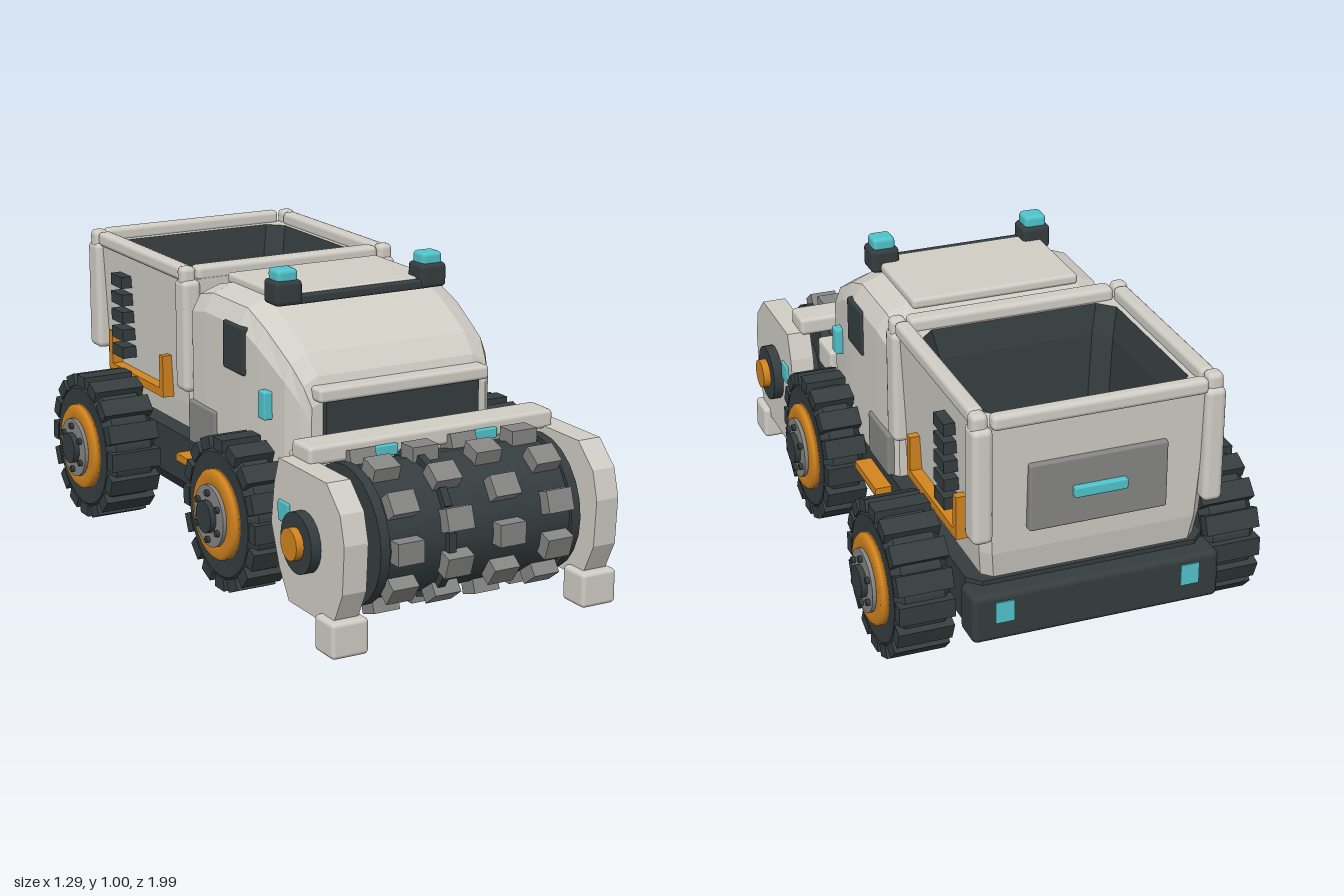
import * as THREE from 'three';
import { RoundedBoxGeometry } from 'three/addons/geometries/RoundedBoxGeometry.js';

const material = (name, color) => {
  const m = new THREE.MeshStandardMaterial({ color });
  m.name = name;
  return m;
};

// Skin between matching loops; each loop runs counter-clockwise seen along the direction of travel.
function loft(loops, startCap = true, endCap = true) {
  const pos = [];
  const tri = (a, b, c) => pos.push(...a, ...b, ...c);
  const n = loops[0].length;
  for (let k = 0; k < loops.length - 1; k++) {
    const a = loops[k], b = loops[k + 1];
    for (let i = 0; i < n; i++) {
      const j = (i + 1) % n;
      tri(a[i], a[j], b[j]);
      tri(a[i], b[j], b[i]);
    }
  }
  const first = loops[0], last = loops[loops.length - 1];
  for (let i = 1; i < n - 1; i++) {
    if (startCap) tri(first[0], first[i + 1], first[i]);
    if (endCap) tri(last[0], last[i], last[i + 1]);
  }
  const g = new THREE.BufferGeometry();
  g.setAttribute('position', new THREE.Float32BufferAttribute(pos, 3));
  g.computeVertexNormals();
  return g;
}

// Horizontal rectangle with cut corners.
const octagon = (y, w, back, front, c) => [
  [-w + c, y, front], [w - c, y, front], [w, y, front - c], [w, y, back + c],
  [w - c, y, back], [-w + c, y, back], [-w, y, back + c], [-w, y, front - c],
];

export function createModel() {
  const shell = material('pale shell', 0xd0cdc5);
  const dark = material('charcoal', 0x353d3f);
  const steel = material('steel grey', 0x858584);
  const orange = material('orange', 0xd2841e);
  const cyan = material('cyan light', 0x50c3cb);
  for (const m of [dark, steel, shell]) m.flatShading = false;

  const root = new THREE.Group();
  root.name = 'miningTruck';
  const add = (name, geo, mat, x = 0, y = 0, z = 0, parent = root) => {
    const m = new THREE.Mesh(geo, mat);
    m.name = name;
    m.position.set(x, y, z);
    parent.add(m);
    return m;
  };
  // Box given by its limits; r rounds the edges.
  const box = (name, mat, [x0, x1], [y0, y1], [z0, z1], r = 0, parent = root) => {
    const s = [x1 - x0, y1 - y0, z1 - z0];
    const g = r ? new RoundedBoxGeometry(...s, 2, r) : new THREE.BoxGeometry(...s);
    return add(name, g, mat, (x0 + x1) / 2, (y0 + y1) / 2, (z0 + z1) / 2, parent);
  };
  const pair = (name, mat, [x0, x1], y, z, r) => {
    box(name + 'Left', mat, [x0, x1], y, z, r);
    box(name + 'Right', mat, [-x1, -x0], y, z, r);
  };
  // Disc or drum lying along x.
  const drumX = (name, mat, r, x0, x1, sides, y, z, parent = root) => {
    const g = new THREE.CylinderGeometry(r, r, Math.abs(x1 - x0), sides).rotateZ(Math.PI / 2);
    return add(name, g, mat, (x0 + x1) / 2, y, z, parent);
  };

  // Chassis
  add('chassis', loft([octagon(0.15, 0.35, -0.9, 0.53, 0.04), octagon(0.2, 0.385, -0.92, 0.56, 0.04),
    octagon(0.36, 0.385, -0.92, 0.56, 0.04)]), dark);
  add('skidPlate', loft([octagon(0.09, 0.26, -0.6, 0.3, 0.05), octagon(0.15, 0.31, -0.68, 0.4, 0.05)]), dark);
  box('rearBumper', dark, [-0.4, 0.4], [0.185, 0.345], [-0.985, -0.87], 0.02);
  pair('rearLamp', cyan, [0.27, 0.33], [0.25, 0.32], [-0.99, -0.98]);
  pair('sideStrip', orange, [0.38, 0.44], [0.3, 0.325], [-0.215, -0.01]);

  // Cab: z, half width, roof height, roof half width, shoulder height
  const cab = [
    [-0.225, 0.36, 0.84, 0.27, 0.76], [-0.2, 0.38, 0.88, 0.28, 0.8], [-0.1, 0.385, 0.905, 0.28, 0.82],
    [0.14, 0.385, 0.905, 0.28, 0.82], [0.25, 0.38, 0.865, 0.285, 0.78], [0.4, 0.365, 0.78, 0.285, 0.7],
    [0.455, 0.34, 0.72, 0.28, 0.64], [0.48, 0.315, 0.65, 0.27, 0.58],
  ].map(([z, w, top, tw, sh]) => [
    [-w, 0.36, z], [w, 0.36, z], [w, sh, z], [(w + tw) / 2 + 0.02, (sh + top) / 2 + 0.015, z], [tw, top, z],
    [-tw, top, z], [-(w + tw) / 2 - 0.02, (sh + top) / 2 + 0.015, z], [-w, sh, z],
  ]);
  add('cab', loft(cab), shell);
  box('roofPlate', shell, [-0.28, 0.28], [0.895, 0.93], [-0.145, 0.22], 0.012);
  box('roofLightBar', dark, [-0.25, 0.25], [0.895, 0.925], [0.215, 0.245], 0.008);
  box('grille', dark, [-0.275, 0.275], [0.52, 0.655], [0.47, 0.503]);
  box('grilleBrow', shell, [-0.305, 0.305], [0.65, 0.695], [0.44, 0.518], 0.012);
  pair('sideWindow', dark, [0.36, 0.394], [0.67, 0.825], [0.04, 0.18], 0.008);
  pair('sideLamp', cyan, [0.36, 0.4], [0.565, 0.655], [0.288, 0.333], 0.006);
  pair('accessPanel', steel, [0.36, 0.395], [0.36, 0.505], [-0.21, -0.02], 0.008);

  // Beacons
  for (const s of [-1, 1]) {
    box('beaconBase', dark, [s * 0.263 - 0.048, s * 0.263 + 0.048], [0.895, 0.975], [0.16, 0.25], 0.015);
    box('beaconLamp', cyan, [s * 0.263 - 0.037, s * 0.263 + 0.037], [0.965, 1.01], [0.17, 0.24], 0.014);
  }

  // Hopper: shell with a lip, dark lining inside
  add('hopper', loft([octagon(0.375, 0.345, -0.93, -0.27, 0.03), octagon(0.46, 0.355, -0.945, -0.25, 0.03),
    octagon(0.895, 0.378, -0.965, -0.235, 0.03), octagon(0.895, 0.325, -0.92, -0.3, 0.05)], true, false), shell);
  add('hopperLining', loft([octagon(0.895, 0.325, -0.92, -0.3, 0.05), octagon(0.8, 0.305, -0.9, -0.32, 0.05),
    octagon(0.45, 0.28, -0.87, -0.34, 0.05)], false, true), dark);
  pair('sideRail', shell, [0.34, 0.39], [0.885, 0.935], [-0.92, -0.28], 0.016);
  box('rearRail', shell, [-0.34, 0.34], [0.885, 0.935], [-0.99, -0.945], 0.016);
  box('frontRail', shell, [-0.34, 0.34], [0.885, 0.935], [-0.295, -0.235], 0.016);
  for (const [z0, z1] of [[-0.297, -0.217], [-0.987, -0.903]]) {
    pair('cornerPost', shell, [0.335, 0.4], [0.52, 0.895], [z0, z1], 0.02);
    pair('postCap', shell, [0.345, 0.397], [0.87, 0.938], [z0 + 0.015, z1 - 0.015], 0.018);
  }
  for (let i = 0; i < 5; i++) {
    const y = 0.8 - i * 0.0615;
    pair('vent', dark, [0.35, 0.41], [y - 0.02, y + 0.02], [-0.77, -0.682]);
  }
  for (const z of [-0.413, -0.817]) pair('bracketPost', orange, [0.34, 0.395], [0.465, 0.605], [z - 0.014, z + 0.014]);
  pair('bracketBar', orange, [0.34, 0.395], [0.462, 0.49], [-0.83, -0.4]);
  box('tailPanel', steel, [-0.22, 0.22], [0.53, 0.75], [-0.976, -0.93], 0.008);
  box('tailLamp', cyan, [-0.085, 0.085], [0.625, 0.66], [-0.995, -0.97], 0.006);

  // Rocks on the hopper floor
  const rocks = [[-0.19, -0.78], [0.005, -0.77], [0.185, -0.79], [-0.255, -0.61], [-0.07, -0.6],
    [0.13, -0.635], [0.255, -0.675], [-0.195, -0.445], [0.005, -0.465], [0.195, -0.49]];
  rocks.forEach(([x, z], i) => {
    const rock = add('rock', new THREE.IcosahedronGeometry(0.05 + 0.012 * ((i * 7) % 5) / 4, 0), steel, x, 0.475, z);
    rock.rotation.set(i * 1.3, i * 2.1, i * 0.7);
    rock.scale.y = 0.85;
  });

  // Wheels, built along +x and turned round for the right side
  const wheel = (name, x0, x1, z, side) => {
    const g = new THREE.Group();
    g.name = name;
    const w = x1 - x0;
    const tyre = [[0.13, 0], [0.2, 0], [0.228, 0.025], [0.228, w - 0.025], [0.2, w], [0.13, w - 0.005], [0.1, w - 0.02]]
      .map(([r, t]) => new THREE.Vector2(r, t));
    const tyreGeo = new THREE.LatheGeometry(tyre, 32).rotateZ(-Math.PI / 2).toNonIndexed();
    tyreGeo.computeVertexNormals();
    add('tyre', tyreGeo, dark, x0, 0, 0, g);
    for (let i = 0; i < 16; i++) {
      const lug = new THREE.BoxGeometry(w, 0.04, 0.062).translate(x0 + w / 2, 0.226, 0).rotateX(i * Math.PI / 8);
      add('treadLug', lug, dark, 0, 0, 0, g);
    }
    drumX('innerHub', dark, 0.135, x0 + 0.005, x1 - 0.02, 24, 0, 0, g);
    const rim = [[0.09, 0], [0.145, 0], [0.145, 0.015], [0.135, 0.025], [0.1, 0.025], [0.09, 0.015]]
      .map(([r, t]) => new THREE.Vector2(r, t));
    add('rim', new THREE.LatheGeometry(rim, 32).rotateZ(-Math.PI / 2), orange, x1 - 0.003, 0, 0, g);
    drumX('hubPlate', steel, 0.1, x1 - 0.02, x1 + 0.034, 24, 0, 0, g);
    drumX('hubCap', dark, 0.052, x1, x1 + 0.053, 16, 0, 0, g);
    for (let i = 0; i < 6; i++) {
      const a = i * Math.PI / 3;
      drumX('bolt', dark, 0.011, x1, x1 + 0.046, 6, 0.076 * Math.cos(a), 0.076 * Math.sin(a), g);
    }
    g.position.set(0, 0.262, z);
    if (side < 0) g.rotation.y = Math.PI;
    root.add(g);
  };
  for (const side of [1, -1]) {
    wheel('frontWheel', 0.39, 0.525, 0.26, side);
    wheel('rearWheel', 0.415, 0.592, -0.633, side);
  }
  for (const z of [0.26, -0.633]) drumX('axle', dark, 0.07, -0.43, 0.43, 16, 0.262, z);

  // Cutter frame
  box('frameMount', shell, [-0.375, 0.375], [0.405, 0.5], [0.44, 0.58], 0.012);
  box('crossBeam', shell, [-0.435, 0.435], [0.515, 0.575], [0.57, 0.685], 0.014);
  pair('beamLamp', cyan, [0.135, 0.22], [0.515, 0.55], [0.68, 0.697], 0.005);
  const arm = new THREE.Shape([[0.975, 0.36], [0.965, 0.21], [0.92, 0.12], [0.83, 0.09], [0.64, 0.09], [0.58, 0.18],
    [0.53, 0.31], [0.55, 0.44], [0.58, 0.525], [0.87, 0.525], [0.95, 0.45]].map(([z, y]) => new THREE.Vector2(-z, y)));
  const armGeo = new THREE.ExtrudeGeometry(arm, { depth: 0.08, bevelEnabled: false }).rotateY(Math.PI / 2);
  for (const s of [1, -1]) {
    add('cutterArm', armGeo, shell, s > 0 ? 0.402 : -0.482);
    drumX('armHub', dark, 0.095, s * 0.47, s * 0.515, 24, 0.31, 0.745);
    drumX('armHubCap', orange, 0.05, s * 0.5, s * 0.54, 16, 0.31, 0.745);
  }
  pair('armFoot', shell, [0.38, 0.505], [0.005, 0.118], [0.835, 0.948], 0.014);
  pair('armLamp', cyan, [0.47, 0.49], [0.333, 0.398], [0.583, 0.648], 0.005);

  // Cutter drum with staggered teeth
  const cutter = new THREE.Group();
  cutter.name = 'cutterDrum';
  cutter.position.set(0, 0.31, 0.745);
  root.add(cutter);
  drumX('drumCore', dark, 0.207, -0.33, 0.33, 16, 0, 0, cutter);
  drumX('drumAxle', dark, 0.1, -0.41, 0.41, 16, 0, 0, cutter);
  for (const s of [-1, 1]) drumX('drumEndRing', dark, 0.218, s * 0.32, s * 0.352, 24, 0, 0, cutter);
  [-0.265, -0.09, 0.09, 0.265].forEach((x, c) => {
    for (let i = 0; i < 10; i++) {
      const a = (i + (c % 2) * 0.5 + 0.5) * Math.PI / 5;
      const g = new THREE.BoxGeometry(0.09, 0.055, 0.07).translate(0, 0.219, 0).rotateX(a);
      add('tooth', g, steel, x, 0, 0, cutter);
      if (c % 2) {
        const nub = new THREE.BoxGeometry(0.025, 0.04, 0.06).translate(0, 0.205, 0).rotateX(a + Math.PI / 10);
        add('drumRib', nub, dark, c === 1 ? -0.11 : 0.11, 0, 0, cutter);
      }
    }
  });

  return root;
}
